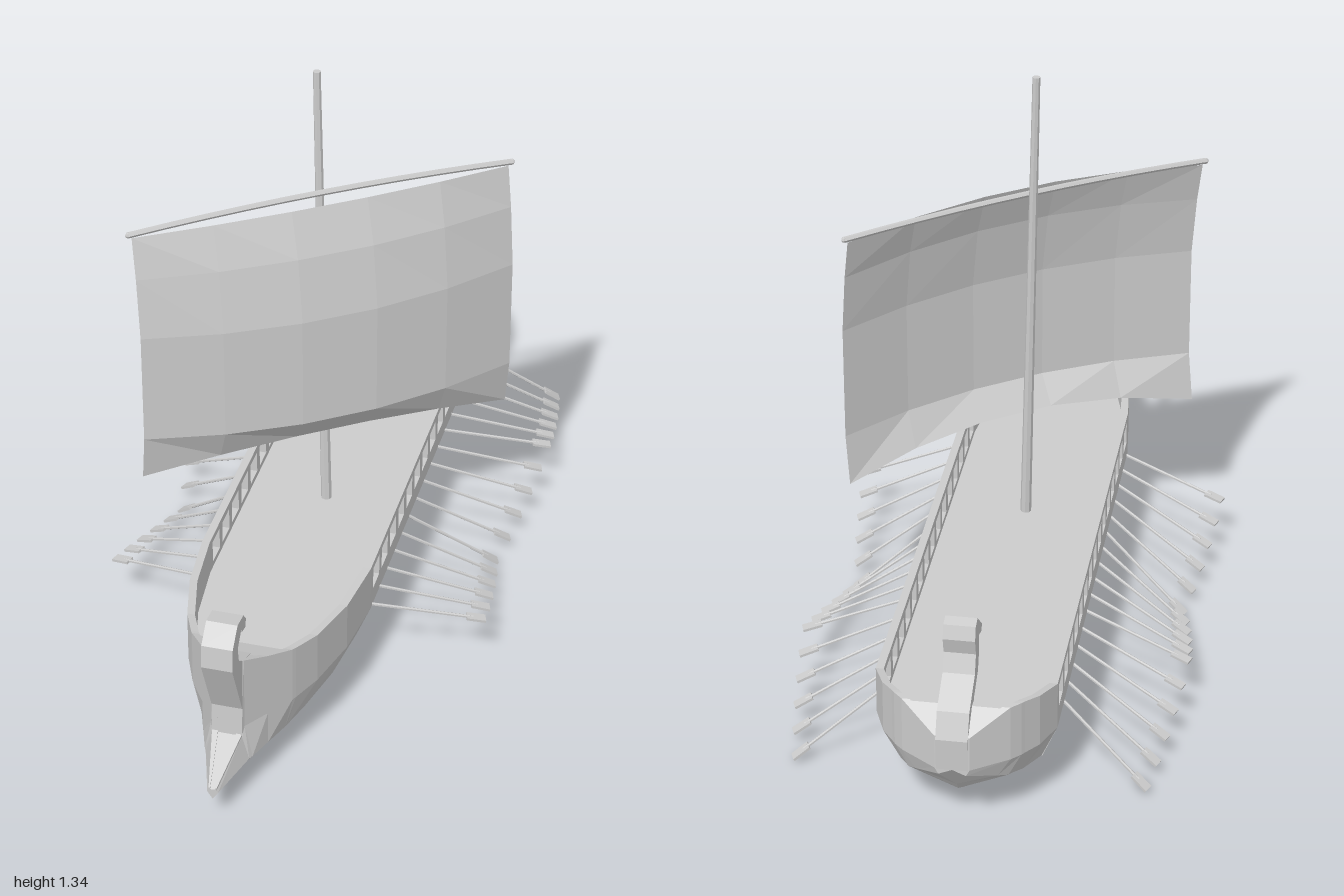
import * as THREE from 'three';

const mat = new THREE.MeshStandardMaterial({ color: 0xcccccc, flatShading: true, side: THREE.DoubleSide });
const V = (x, y, z) => new THREE.Vector3(x, y, z);

function add(parent, name, geometry) {
  const mesh = new THREE.Mesh(geometry, mat);
  mesh.name = name;
  parent.add(mesh);
  return mesh;
}

// Faceted skin through rows of points; closed rows are capped at both ends
function loft(rows, closed) {
  const out = [];
  const tri = (...points) => points.forEach(p => out.push(p.x, p.y, p.z));
  const n = rows[0].length;
  for (let i = 0; i < rows.length - 1; i++) {
    for (let j = 0; j < (closed ? n : n - 1); j++) {
      const k = (j + 1) % n;
      const a = rows[i][j], b = rows[i][k], c = rows[i + 1][k], d = rows[i + 1][j];
      tri(a, b, d);
      tri(b, c, d);
    }
  }
  if (closed) {
    const first = rows[0], last = rows[rows.length - 1];
    for (let j = 1; j < n - 1; j++) {
      tri(first[0], first[j + 1], first[j]);
      tri(last[0], last[j], last[j + 1]);
    }
  }
  const g = new THREE.BufferGeometry();
  g.setAttribute('position', new THREE.Float32BufferAttribute(out, 3));
  g.computeVertexNormals();
  return g;
}

// Hull ring: keel, chine, side, rim, inner rim, deck edge, then mirrored.
// The chine follows the keel up at the stern; both ends are decked at rim height.
function hullRing([z, keel, chineX, rimX, rimY]) {
  const chineY = z < 0 ? 0.095 + 0.4 * keel : Math.min(0.1, rimY - 0.012);
  const sideY = Math.min(0.182, rimY - 0.006);
  const innerX = Math.max(rimX - 0.018, rimX * 0.6);
  const deck = z > -0.91 && z < 0.755 ? 0.21 : rimY - 0.004;
  const half = [V(chineX, chineY, z), V(rimX, sideY, z), V(rimX, rimY, z), V(innerX, rimY, z), V(innerX, deck, z)];
  const other = half.map(p => V(-p.x, p.y, z)).reverse();
  return [V(0, keel, z), ...half, V(0, deck, z), ...other];
}

// Side-on outline given as (z, y) points, extruded across the ship
function endPost(parent, name, points) {
  const shape = new THREE.Shape(points.map(p => new THREE.Vector2(p[0], p[1])));
  const g = new THREE.ExtrudeGeometry(shape, { depth: 0.07, bevelEnabled: false });
  g.translate(0, 0, -0.035).rotateY(-Math.PI / 2);
  add(parent, name, g);
}

// Pierced rail above the deck, one window per bay
function railGeometry() {
  const rect = (path, x0, x1, y0, y1) =>
    path.moveTo(x0, y0).lineTo(x1, y0).lineTo(x1, y1).lineTo(x0, y1).closePath();
  const shape = rect(new THREE.Shape(), -0.4, 0.8, 0.212, 0.295);
  for (let i = 0; i < 15; i++) {
    const c = -0.35 + i * 0.0786;
    shape.holes.push(rect(new THREE.Path(), c - 0.028, c + 0.028, 0.224, 0.279));
  }
  return new THREE.ExtrudeGeometry(shape, { depth: 0.018, bevelEnabled: false }).rotateY(Math.PI / 2);
}

// Oar with a flat blade, lying along its own z
function makeOar(root, tip) {
  const oar = new THREE.Group();
  oar.name = 'oar';
  const length = root.distanceTo(tip);
  add(oar, 'oarShaft', new THREE.CylinderGeometry(0.004, 0.004, length - 0.03, 6)
    .rotateX(Math.PI / 2).translate(0, 0, (length - 0.03) / 2));
  add(oar, 'oarBlade', new THREE.BoxGeometry(0.024, 0.006, 0.045).translate(0, 0, length - 0.0225));
  oar.position.copy(root);
  oar.lookAt(tip);
  return oar;
}

export function createModel() {
  const ship = new THREE.Group();
  ship.name = 'galley';

  // Hull in three runs: z, keel y, chine x, rim x, rim y
  const stern = [
    [-0.99, 0.18, 0.03, 0.038, 0.265],
    [-0.935, 0.105, 0.09, 0.118, 0.315],
    [-0.915, 0.08, 0.11, 0.138, 0.315],
    [-0.905, 0.075, 0.115, 0.145, 0.314],
    [-0.87, 0.05, 0.135, 0.172, 0.308],
    [-0.8, 0.022, 0.165, 0.2, 0.295],
  ];
  const waist = [-0.8, -0.4, 0.1, 0.4].map(z => [z, z < 0 ? 0.01 - 0.015 * z : 0.01, 0.167, 0.2, 0.214]);
  const bow = [
    [0.4, 0.01, 0.167, 0.2, 0.295],
    [0.55, 0.01, 0.15, 0.184, 0.299],
    [0.68, 0.013, 0.12, 0.15, 0.308],
    [0.75, 0.018, 0.1, 0.12, 0.32],
    [0.76, 0.018, 0.097, 0.115, 0.322],
    [0.82, 0.025, 0.075, 0.075, 0.342],
    [0.875, 0.035, 0.055, 0.038, 0.365],
    [0.885, 0.037, 0.05, 0.034, 0.165],
    [1, 0.07, 0.012, 0.009, 0.1],
  ];
  add(ship, 'hull', loft([...stern, ...waist, ...bow].map(hullRing), true));

  // Curled posts at both ends
  endPost(ship, 'bowPost', [
    [0.885, 0.16], [0.875, 0.22], [0.95, 0.39], [0.944, 0.444], [0.905, 0.483], [0.86, 0.477],
    [0.842, 0.455], [0.848, 0.436], [0.878, 0.443], [0.875, 0.455], [0.907, 0.42],
    [0.9, 0.383], [0.87, 0.36], [0.81, 0.335], [0.82, 0.2],
  ]);
  endPost(ship, 'sternPost', [
    [-0.99, 0.18], [-0.994, 0.257], [-0.97, 0.315], [-0.896, 0.364], [-0.88, 0.406], [-0.89, 0.444],
    [-0.88, 0.475], [-0.855, 0.482], [-0.8, 0.433], [-0.81, 0.42], [-0.842, 0.43],
    [-0.838, 0.395], [-0.856, 0.35], [-0.91, 0.315], [-0.93, 0.2],
  ]);

  // Rails and oars on both sides; the stroke dips and lifts along the ship
  for (const side of [1, -1]) {
    const name = side > 0 ? 'left' : 'right';
    const rail = add(ship, name + 'Rail', railGeometry());
    rail.position.x = side > 0 ? 0.182 : -0.2;

    const oars = new THREE.Group();
    oars.name = name + 'Oars';
    for (let i = 0; i < 16; i++) {
      const lift = 1 - Math.abs((i % 10) - 5) / 5;
      const angle = THREE.MathUtils.degToRad(38 - 25 * lift);
      const z = -0.685 + i * 0.0717;
      const root = V(side * 0.185, 0.187, z);
      const tip = V(side * (0.185 + 0.27 * Math.cos(angle)), 0.187 - 0.27 * Math.sin(angle), z - 0.09);
      oars.add(makeOar(root, tip));
    }
    ship.add(oars);
  }

  // Raked mast
  const foot = V(0, 0.205, 0.046), head = V(-0.027, 1.35, 0.024);
  const mast = add(ship, 'mast', new THREE.CylinderGeometry(0.009, 0.013, foot.distanceTo(head), 8));
  mast.position.copy(foot).lerp(head, 0.5);
  mast.quaternion.setFromUnitVectors(V(0, 1, 0), head.clone().sub(foot).normalize());

  // Yard and sail in their own frame, swung about the mast
  const rig = new THREE.Group();
  rig.name = 'rig';
  rig.position.set(-0.008, 0, 0.042);
  rig.rotation.y = 0.616;
  ship.add(rig);

  const arc = new THREE.QuadraticBezierCurve3(V(-0.46, 1.037, 0), V(0, 1.066, 0), V(0.46, 1.037, 0));
  add(rig, 'yard', new THREE.TubeGeometry(arc, 10, 0.007, 6));
  for (const end of [-1, 1]) {
    add(rig, 'yardEnd', new THREE.SphereGeometry(0.007, 6, 4)).position.set(end * 0.46, 1.037, 0);
  }

  // Billowing sail: edge y, middle y, edge bulge, middle bulge
  const sailRows = [
    [1.028, 1.045, 0, 0.045],
    [0.93, 0.94, 0.022, 0.085],
    [0.785, 0.787, 0.042, 0.113],
    [0.51, 0.51, 0.042, 0.113],
    [0.393, 0.447, 0.022, 0.065],
  ];
  const rows = sailRows.map(([y0, y1, b0, b1]) => {
    const row = [];
    for (let j = 0; j <= 5; j++) {
      const u = j / 2.5 - 1;
      const belly = 1 - u * u;
      row.push(V(u * 0.452, y0 + (y1 - y0) * belly, b0 + (b1 - b0) * belly));
    }
    return row.reverse();
  });
  add(rig, 'sail', loft(rows, false));

  return ship;
}
